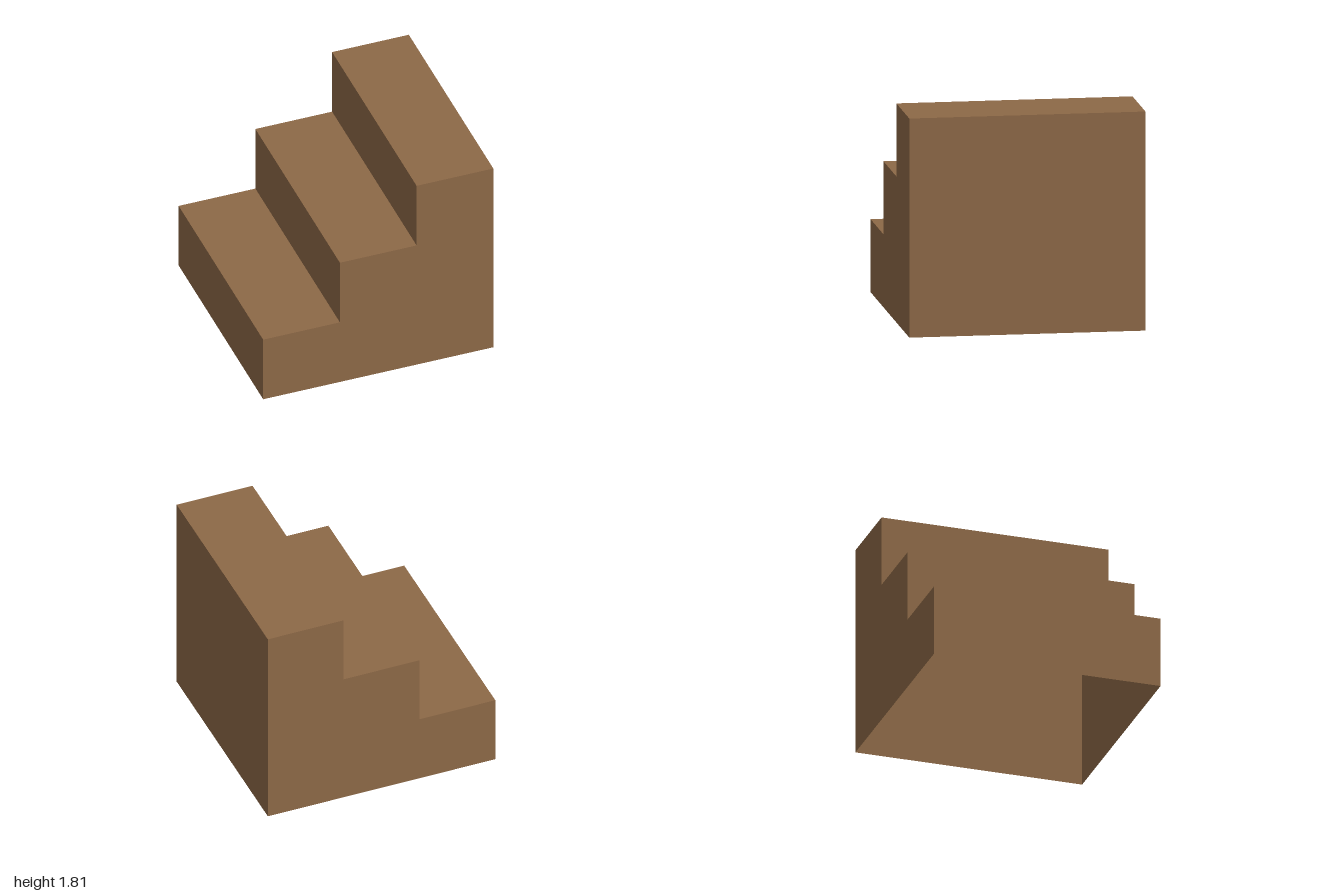
import * as THREE from 'three';

export function createModel() {
  const group = new THREE.Group();
  group.name = 'stairBlock';

  const brown = new THREE.MeshStandardMaterial({ color: 0x8d6947, side: THREE.DoubleSide });
  brown.name = 'brown';

  const steps = 3, width = 2, height = 1.813, depth = 1.944;
  const run = width / steps, rise = height / steps;

  const add = (name, geometry, x, y, z) => {
    const mesh = new THREE.Mesh(geometry, brown);
    mesh.name = name;
    mesh.position.set(x, y, z);
    group.add(mesh);
  };

  // Stepped end walls: thin skins, the block is hollow and open underneath
  const profile = [[-width / 2, 0]];
  for (let i = 0; i < steps; i++) {
    const x = -width / 2 + i * run, y = (i + 1) * rise;
    profile.push([x, y], [x + run, y]);
  }
  profile.push([width / 2, 0]);
  const wall = (flip) =>
    new THREE.ShapeGeometry(new THREE.Shape(profile.map(([x, y]) => new THREE.Vector2(x * flip, y))));
  add('frontWall', wall(1), 0, 0, depth / 2);
  add('backWall', wall(-1).rotateY(Math.PI), 0, 0, -depth / 2);

  // Treads and risers, climbing towards +x
  for (let i = 0; i < steps; i++) {
    const x = -width / 2 + i * run;
    add(`riser${i + 1}`, new THREE.PlaneGeometry(depth, rise).rotateY(-Math.PI / 2), x, (i + 0.5) * rise, 0);
    add(`tread${i + 1}`, new THREE.PlaneGeometry(run, depth).rotateX(-Math.PI / 2), x + run / 2, (i + 1) * rise, 0);
  }

  // Tall wall behind the top step
  add('tallWall', new THREE.PlaneGeometry(depth, height).rotateY(Math.PI / 2), width / 2, height / 2, 0);

  return group;
}
